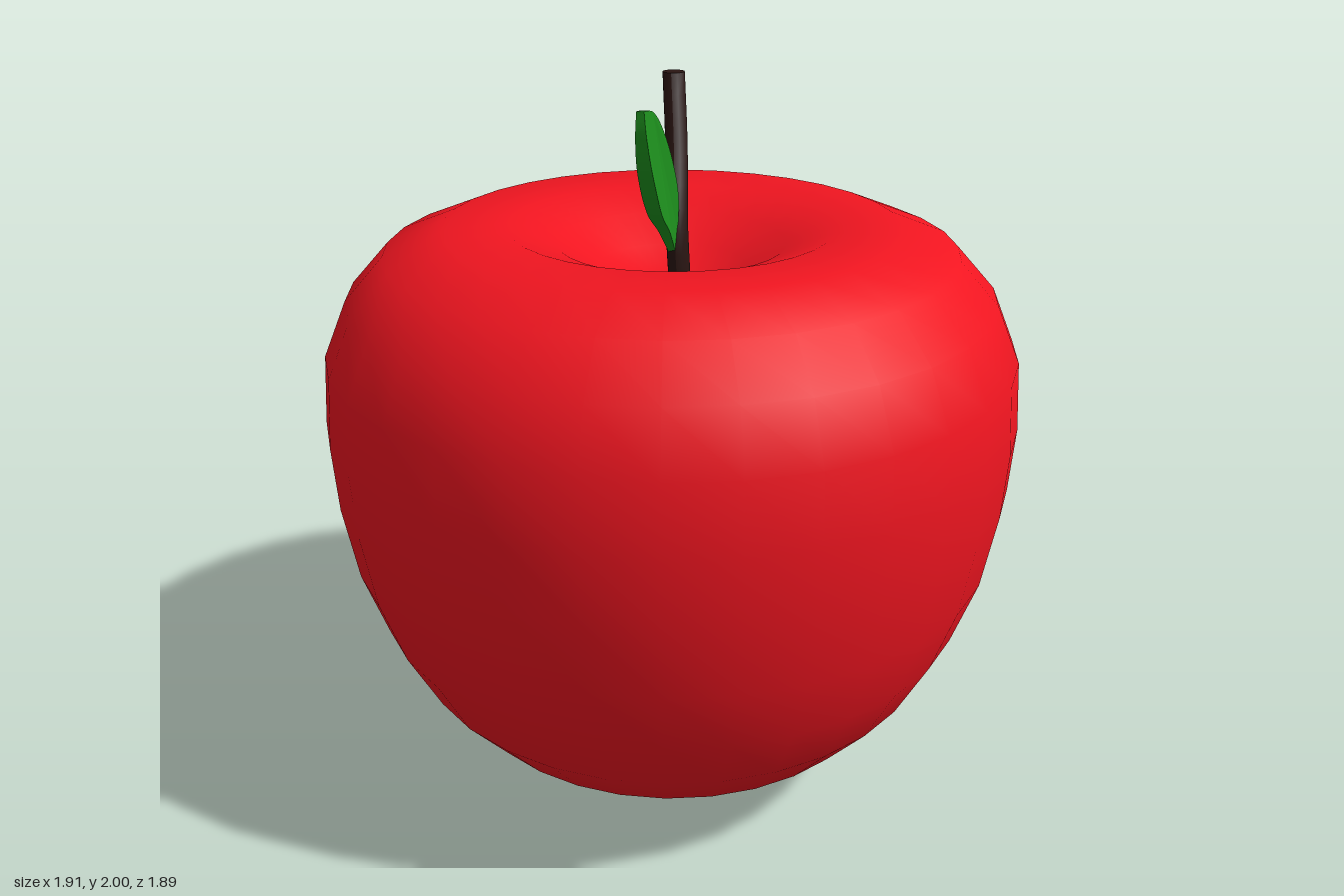
import * as THREE from 'three';

const vec2 = ([x, y]) => new THREE.Vector2(x, y);

function part(name, geometry, color) {
  const mesh = new THREE.Mesh(geometry, new THREE.MeshStandardMaterial({ color }));
  mesh.name = name;
  return mesh;
}

// Fruit body: a lathe with a sunken dimple at the top
function fruitBody() {
  const profile = [
    [0, 0], [0.17, 0.015], [0.335, 0.055], [0.49, 0.12], [0.63, 0.22],
    [0.755, 0.365], [0.845, 0.54], [0.91, 0.73], [0.945, 0.94], [0.955, 1.12],
    [0.94, 1.31], [0.875, 1.46], [0.77, 1.575], [0.615, 1.637], [0.44, 1.632],
    [0.31, 1.585], [0.2, 1.52], [0.1, 1.475], [0, 1.46],
  ].map(vec2);
  const geometry = new THREE.LatheGeometry(profile, 32);
  geometry.scale(1, 1, 0.99);
  return part('fruitBody', geometry, 0xf01520);
}

// Stem: a cylinder whose level rings slide along a bent centre line
function stem() {
  const bottom = 1.44, top = 2;
  const path = new THREE.CatmullRomCurve3([
    [0.025, bottom, 0], [0.012, 1.63, -0.012], [-0.01, 1.82, -0.105], [-0.037, top, -0.19],
  ].map((p) => new THREE.Vector3(...p)));
  const geometry = new THREE.CylinderGeometry(0.031, 0.031, 1, 12, 10);
  const pos = geometry.attributes.position;
  for (let i = 0; i < pos.count; i++) {
    const c = path.getPoint(pos.getY(i) + 0.5);
    pos.setXYZ(i, pos.getX(i) + c.x, c.y, pos.getZ(i) + c.z);
  }
  geometry.computeVertexNormals();
  return part('stem', geometry, 0x2a1512);
}

// Leaf: an upright outline with thickness that swells in the middle
function leaf() {
  const outline = new THREE.Shape();
  outline.moveTo(0.01, 1.55);
  outline.splineThru([[0.11, 1.638], [0.22, 1.715], [0.31, 1.83], [0.35, 1.925], [0.357, 1.995]].map(vec2));
  outline.splineThru([[0.27, 1.978], [0.19, 1.925], [0.095, 1.82], [0.02, 1.7], [0.01, 1.55]].map(vec2));
  const geometry = new THREE.ExtrudeGeometry(outline, { depth: 1, bevelEnabled: false, curveSegments: 14 });
  geometry.translate(0, 0, -0.5);
  geometry.rotateY(-Math.PI / 2);
  const pos = geometry.attributes.position;
  for (let i = 0; i < pos.count; i++) {
    const t = THREE.MathUtils.clamp((pos.getY(i) - 1.55) / 0.45, 0, 1);
    pos.setX(i, 0.006 + pos.getX(i) * (0.018 + 0.022 * Math.sin(Math.PI * t)));
  }
  geometry.computeVertexNormals();
  return part('leaf', geometry, 0x1f961f);
}

export function createModel() {
  const group = new THREE.Group();
  group.name = 'fruit';
  group.add(fruitBody(), stem(), leaf());
  return group;
}
